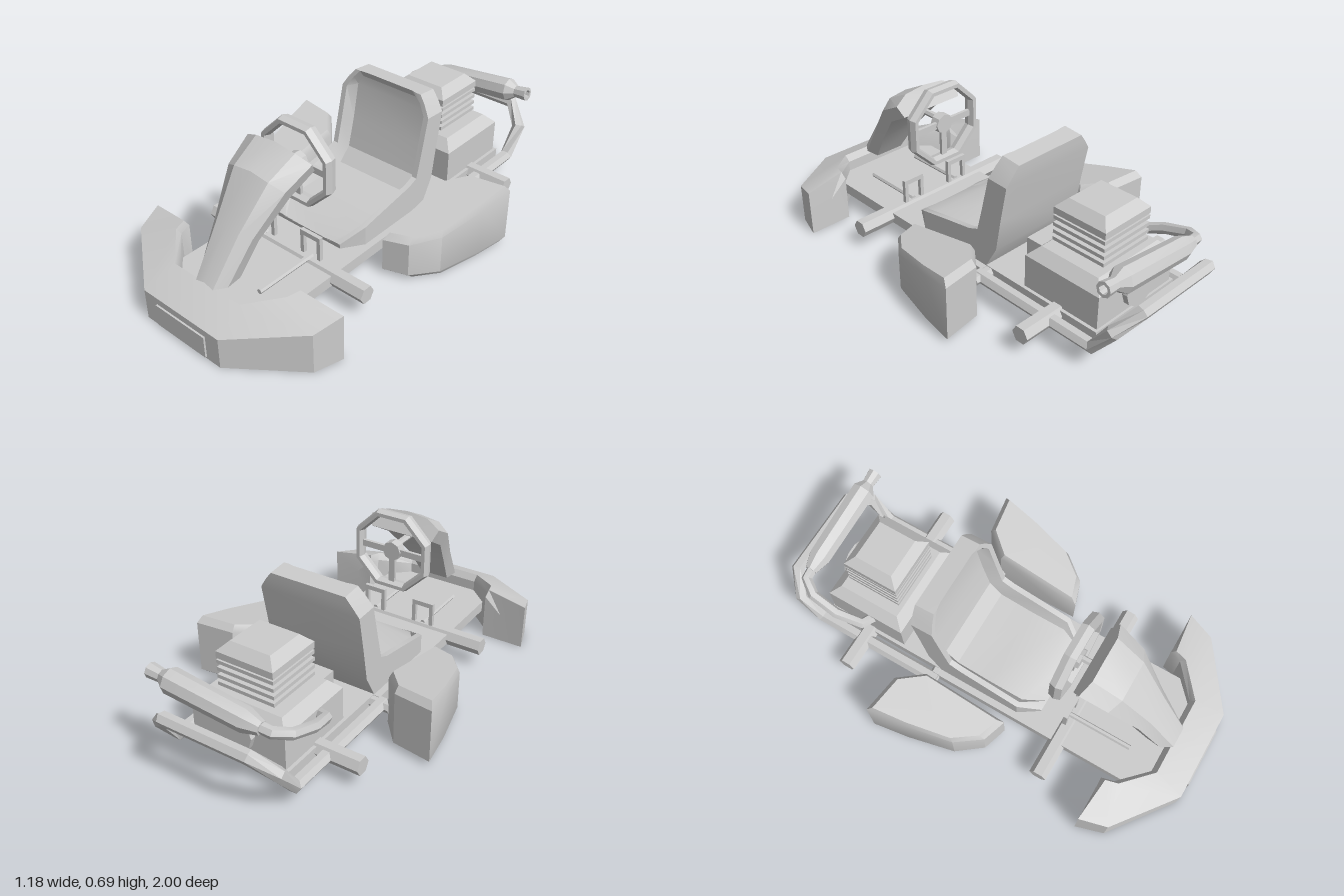
import * as THREE from 'three';
import { toCreasedNormals } from 'three/addons/utils/BufferGeometryUtils.js';

const V = (x, y, z) => new THREE.Vector3(x, y, z);

// Skin a row of equal-length closed loops of [x, y, z], cap the ends, face outwards
function loft(loops, crease = 0.6) {
  const n = loops[0].length, pos = loops.flat(2), idx = [];
  for (let i = 0; i < loops.length - 1; i++) {
    for (let j = 0; j < n; j++) {
      const a = i * n + j, b = i * n + (j + 1) % n;
      idx.push(a, b, b + n, a, b + n, a + n);
    }
  }
  [0, loops.length - 1].forEach((s, end) => {
    const c = pos.length / 3;
    for (let k = 0; k < 3; k++) pos.push(loops[s].reduce((t, p) => t + p[k], 0) / n);
    for (let j = 0; j < n; j++) {
      const a = s * n + j, b = s * n + (j + 1) % n;
      if (end) idx.push(a, b, c); else idx.push(b, a, c);
    }
  });
  const at = (i) => V(pos[i * 3], pos[i * 3 + 1], pos[i * 3 + 2]);
  let volume = 0;
  for (let i = 0; i < idx.length; i += 3) volume += at(idx[i]).dot(at(idx[i + 1]).cross(at(idx[i + 2])));
  if (volume < 0) idx.reverse();
  const g = new THREE.BufferGeometry();
  g.setAttribute('position', new THREE.Float32BufferAttribute(pos, 3));
  g.setIndex(idx);
  return toCreasedNormals(g, crease);
}

// Faceted tube with mitred corners along a polyline
function pipe(points, r, sides = 6) {
  const p = points.map((q) => V(...q));
  return loft(p.map((q, i) => {
    const t = V(0, 0, 0);
    if (i > 0) t.add(q.clone().sub(p[i - 1]).normalize());
    if (i < p.length - 1) t.add(p[i + 1].clone().sub(q).normalize());
    t.normalize();
    const ref = Math.abs(t.y) > 0.95 ? V(0, 0, 1) : V(0, 1, 0);
    const u = ref.cross(t).normalize(), v = t.clone().cross(u);
    return Array.from({ length: sides }, (_, k) => {
      const a = (k / sides) * Math.PI * 2;
      return q.clone().addScaledVector(u, r * Math.cos(a)).addScaledVector(v, r * Math.sin(a)).toArray();
    });
  }), 0.4);
}

// Rectangular block whose upper edge is chamfered
function chamferBlock(w, d, y0, y1, z, c) {
  const ring = (y, s) => [[-1, -1], [1, -1], [1, 1], [-1, 1]].map(([a, b]) => [a * (w / 2 - s), y, z + b * (d / 2 - s)]);
  return loft([ring(y0, 0), ring(y1 - c, 0), ring(y1, c)], 0.3);
}

export function createModel() {
  const model = new THREE.Group();
  const grey = new THREE.MeshStandardMaterial({ color: 0xcccccc });
  grey.name = 'light grey';
  const add = (name, geometry, x = 0, y = 0, z = 0, parent = model) => {
    const m = new THREE.Mesh(geometry, grey);
    m.name = name;
    m.position.set(x, y, z);
    parent.add(m);
    return m;
  };
  const box = (w, h, d) => new THREE.BoxGeometry(w, h, d);

  // Chassis: floor, axles, cross tube, side rails joined by the rear hoop
  add('floorPan', box(0.54, 0.05, 1.05), 0, 0.097, 0.32);
  add('rearFloor', box(0.48, 0.05, 0.6), 0, 0.1, -0.5);
  for (const [name, z] of [['frontAxle', 0.41], ['rearAxle', -0.59]]) {
    add(name, pipe([[-0.435, 0.1, z], [0.435, 0.1, z]], 0.04));
  }
  add('crossTube', pipe([[-0.33, 0.1, -0.22], [0.33, 0.1, -0.22]], 0.025));
  const hoop = [[0.285, 0.1, -0.2], [0.285, 0.1, -0.82], [0.285, 0.22, -0.91], [0.2, 0.3, -0.97]];
  add('rearHoop', pipe([...hoop, ...hoop.map(([x, y, z]) => [-x, y, z]).reverse()], 0.03));

  // Front bumper: outer bottom, outer top, inner top, inner bottom at each station
  const station = (ox, oz, oy, ix, iz, iy) => [
    [ox, 0, oz], [ox, oy, oz], [ix * 1.02, iy, iz + 0.02], [ix, iy - 0.03, iz], [ix, 0, iz]];
  const half = [
    station(0.528, 0.655, 0.215, 0.325, 0.655, 0.24),
    station(0.49, 0.78, 0.185, 0.31, 0.71, 0.235),
    station(0.21, 0.99, 0.14, 0.18, 0.83, 0.2)];
  const mirrored = half.map((s) => s.map(([x, y, z]) => [-x, y, z])).reverse();
  add('frontBumper', loft([...half, ...mirrored], 0.5));
  add('bumperPlate', box(0.275, 0.1, 0.008), 0, 0.06, 0.994);

  // Side pods: a plan outline with a top rising to the rear
  const plan = [[0.32, 0.175], [0.32, -0.22], [0.41, -0.325], [0.59, -0.35], [0.565, -0.185], [0.515, 0.03], [0.43, 0.14]];
  const podTop = (z) => 0.205 + (0.18 - z) * 0.18;
  const podRing = (s, height) => plan.map(([x, z]) =>
    [0.45 + (x - 0.45) * s, height(z), -0.1 + (z + 0.1) * s]);
  const pod = loft([podRing(0.9, () => 0.005), podRing(1, () => 0.025),
    podRing(1, (z) => podTop(z) - 0.03), podRing(0.9, podTop)], 0.55);
  add('leftSidePod', pod);
  add('rightSidePod', pod.clone().rotateZ(Math.PI).scale(1, -1, 1)).geometry = loft(
    [podRing(0.9, () => 0.005), podRing(1, () => 0.025), podRing(1, (z) => podTop(z) - 0.03), podRing(0.9, podTop)]
      .map((r) => r.map(([x, y, z]) => [-x, y, z])), 0.55);

  // Bucket seat: half width, rim y z, inner surface y z, back y z
  const seatRows = [
    [0.18, 0.637, -0.235, 0.637, -0.24, 0.628, -0.325],
    [0.21, 0.6, -0.227, 0.598, -0.265, 0.59, -0.322],
    [0.24, 0.55, -0.215, 0.55, -0.265, 0.545, -0.316],
    [0.24, 0.4, -0.18, 0.39, -0.235, 0.38, -0.285],
    [0.24, 0.28, -0.15, 0.25, -0.2, 0.23, -0.26],
    [0.24, 0.26, -0.1, 0.19, -0.14, 0.12, -0.2],
    [0.24, 0.24, 0.02, 0.175, 0.02, 0.11, 0.02],
    [0.24, 0.21, 0.19, 0.175, 0.19, 0.11, 0.19],
    [0.18, 0.145, 0.285, 0.14, 0.285, 0.11, 0.28]];
  add('seat', loft(seatRows.map(([w, ry, rz, iy, iz, by, bz]) => {
    const k = w - 0.025, m = w - 0.05;
    return [[w, ry, rz], [w, by, bz], [-w, by, bz], [-w, ry, rz], [-k, ry, rz], [-m, iy, iz], [m, iy, iz], [k, ry, rz]];
  }), 0.5));

  // Steering fairing: half width, front y z, back y z
  const fairRows = [
    [0.08, 0.2, 0.86, 0.2, 0.74],
    [0.105, 0.39, 0.725, 0.34, 0.65],
    [0.155, 0.57, 0.585, 0.49, 0.52],
    [0.175, 0.64, 0.45, 0.56, 0.4]];
  add('steeringFairing', loft(fairRows.map(([w, fy, fz, by, bz]) => {
    const sy = fy + (by - fy) * 0.4, sz = fz + (bz - fz) * 0.4;
    return [[0, fy + 0.012, fz], [w * 0.6, fy, fz], [w, sy, sz], [w * 0.9, by, bz],
      [-w * 0.9, by, bz], [-w, sy, sz], [-w * 0.6, fy, fz]];
  }), 0.35));

  // Octagonal steering wheel with hub, three spokes and column
  const wheel = new THREE.Group();
  wheel.name = 'steeringWheel';
  wheel.position.set(0, 0.505, 0.33);
  model.add(wheel);
  const rim = new THREE.TorusGeometry(0.183, 0.018, 6, 8).rotateZ(Math.PI / 8).scale(1, 1, 1.8);
  add('wheelRim', toCreasedNormals(rim, 0.4), 0, 0, 0, wheel);
  add('wheelHub', pipe([[0, 0, -0.015], [0, 0, 0.03]], 0.045, 8), 0, 0, 0, wheel);
  for (const a of [0, Math.PI, -Math.PI / 2]) {
    add('wheelSpoke', box(0.14, 0.03, 0.015).translate(0.1, 0, 0).rotateZ(a), 0, 0, 0, wheel);
  }
  add('steeringColumn', pipe([[0, 0.52, 0.34], [0, 0.52, 0.5]], 0.015));

  // Pedals: an upright frame on each side with a push rod
  for (const s of [-1, 1]) {
    for (const x of [0.085, 0.175]) add('pedalPost', box(0.018, 0.14, 0.018), s * x, 0.175, 0.4);
    add('pedalBar', box(0.108, 0.022, 0.018), s * 0.13, 0.236, 0.4);
    add('pedalRod', pipe([[s * 0.13, 0.135, 0.4], [s * 0.13, 0.135, 0.7]], 0.012));
  }

  // Engine: block, cooling fins, head, intake and rear cover
  add('engineBlock', chamferBlock(0.45, 0.38, 0.12, 0.32, -0.6, 0.045));
  add('engineCore', box(0.2, 0.16, 0.2), 0, 0.39, -0.6);
  for (let i = 0; i < 4; i++) add('coolingFin', box(0.27, 0.016, 0.26), 0, 0.345 + i * 0.033, -0.6);
  add('cylinderHead', chamferBlock(0.27, 0.26, 0.46, 0.53, -0.6, 0.04));
  add('intake', box(0.22, 0.13, 0.12), 0, 0.19, -0.37);
  add('rearCover', pipe([[0, 0.22, -0.78], [0, 0.22, -0.815]], 0.085, 10));

  // Exhaust: bent pipe leading to a muffler lying across the back
  add('exhaustPipe', pipe([[-0.2, 0.24, -0.56], [-0.27, 0.26, -0.59], [-0.295, 0.3, -0.7],
    [-0.285, 0.34, -0.82], [-0.24, 0.365, -0.88], [-0.16, 0.375, -0.885]], 0.024));
  const profile = [[0, 0], [0.028, 0], [0.05, 0.07], [0.055, 0.43], [0.028, 0.47], [0.033, 0.53], [0.02, 0.53], [0.018, 0.49], [0, 0.49]];
  const muffler = new THREE.LatheGeometry(profile.map(([r, y]) => new THREE.Vector2(r, y)), 8);
  add('muffler', toCreasedNormals(muffler, 0.4), -0.2, 0.37, -0.885).rotation.z = -Math.PI / 2 + 0.1;

  return model;
}
